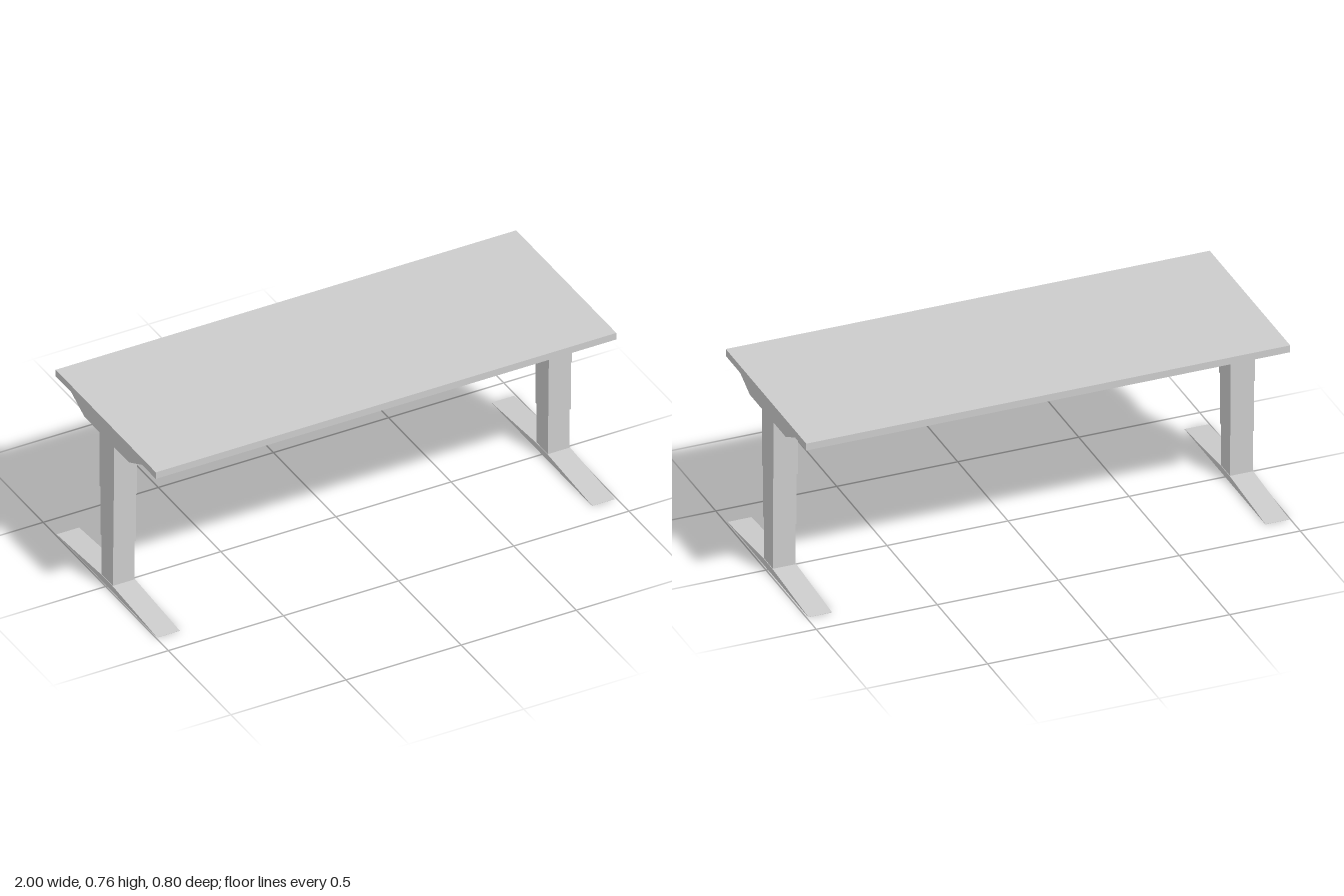
import * as THREE from 'three';

const material = new THREE.MeshStandardMaterial({ color: 0xcccccc, flatShading: true });

function box(name, w, d, y0, y1) {
  const mesh = new THREE.Mesh(new THREE.BoxGeometry(w, y1 - y0, d), material);
  mesh.position.y = (y0 + y1) / 2;
  mesh.name = name;
  return mesh;
}

// Side profile of [z, y] points for the +z half, bottom to top, mirrored and extruded along x
function profile(name, half, width) {
  const mirrored = half.map(([z, y]) => [-z, y]).reverse();
  const shape = new THREE.Shape([...half, ...mirrored].map(([z, y]) => new THREE.Vector2(z, y)));
  const geometry = new THREE.ExtrudeGeometry(shape, { depth: width, bevelEnabled: false });
  geometry.translate(0, 0, -width / 2).rotateY(Math.PI / 2);
  const mesh = new THREE.Mesh(geometry, material);
  mesh.name = name;
  return mesh;
}

function createLeg(name, x) {
  const leg = new THREE.Group();
  leg.name = name;
  leg.position.x = x;
  leg.add(
    // Foot tapering to thin tips
    profile('foot', [[0.402, 0], [0.402, 0.001], [0.045, 0.027]], 0.098),
    // Telescoping column, each stage slightly larger than the one below
    box('lowerColumn', 0.094, 0.09, 0.02, 0.207),
    box('middleColumn', 0.097, 0.103, 0.207, 0.428),
    box('upperColumn', 0.1, 0.117, 0.428, 0.68),
    // Trapezoid bracket under the top
    profile('bracket', [[0.178, 0.674], [0.295, 0.73]], 0.1)
  );
  return leg;
}

export function createModel() {
  const desk = new THREE.Group();
  desk.name = 'standingDesk';
  desk.add(box('tabletop', 2, 0.8, 0.73, 0.76));
  desk.add(createLeg('leftLeg', 0.943), createLeg('rightLeg', -0.946));
  return desk;
}
